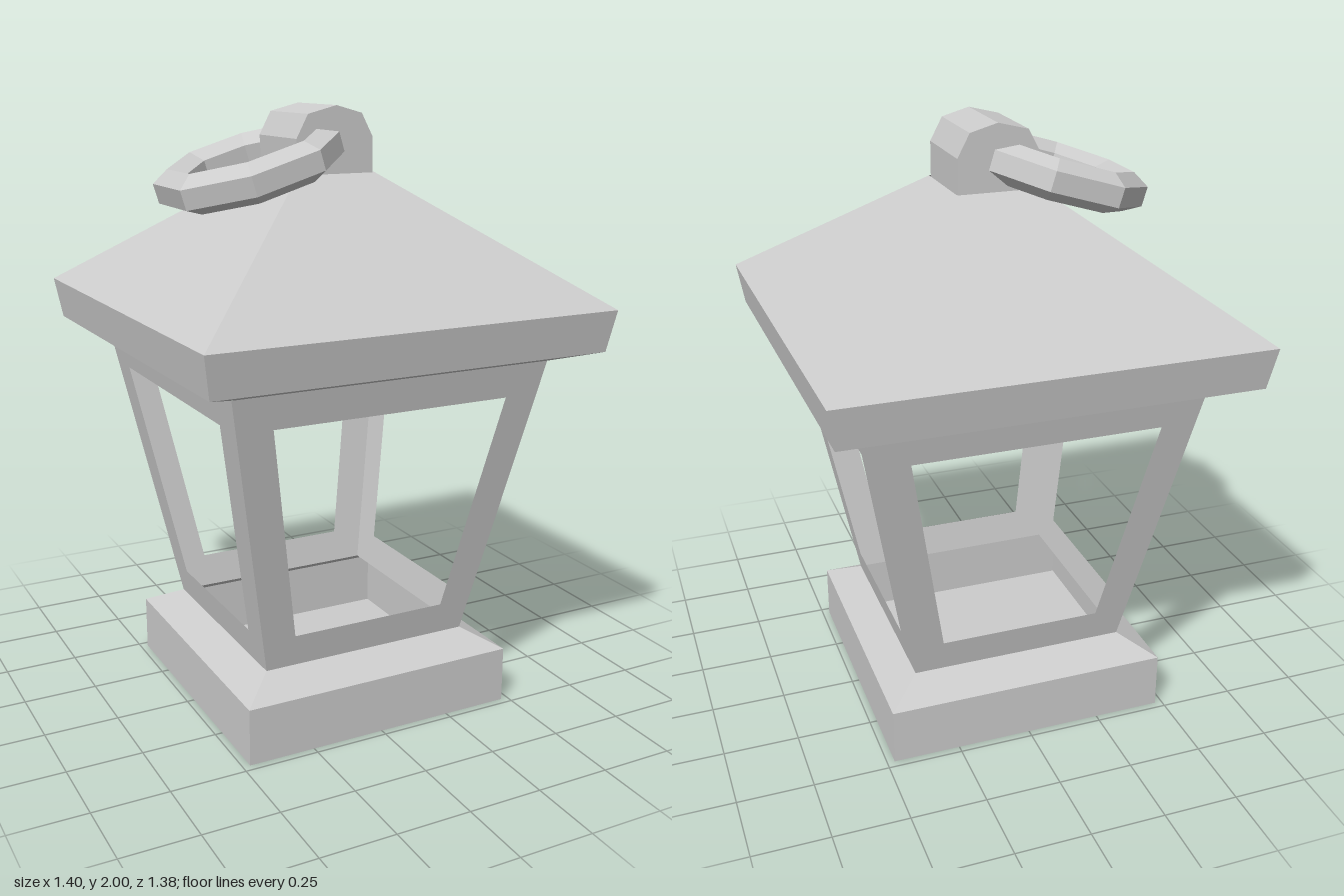
import * as THREE from 'three';

export function createModel() {
  const model = new THREE.Group();
  const metal = new THREE.MeshStandardMaterial({ color: 0xcccccc, flatShading: true, side: THREE.DoubleSide });
  metal.name = 'grey metal';

  const add = (name, geometry, parent = model) => {
    const mesh = new THREE.Mesh(geometry, metal);
    mesh.name = name;
    parent.add(mesh);
    return mesh;
  };

  // Open square tapering band between two heights, given half widths
  const band = (halfLow, yLow, halfHigh, yHigh) =>
    new THREE.CylinderGeometry(halfHigh * Math.SQRT2, halfLow * Math.SQRT2, yHigh - yLow, 4, 1, true)
      .rotateY(Math.PI / 4)
      .translate(0, (yLow + yHigh) / 2, 0);

  // Plinth
  add('basePlinth', band(0.475, 0, 0.475, 0.19));
  add('baseBevel', band(0.475, 0.19, 0.365, 0.25));
  add('baseBottom', new THREE.PlaneGeometry(0.95, 0.95).rotateX(Math.PI / 2));

  // Four leaning window frames of thin sheet
  const low = { half: 0.365, y: 0.25 };
  const high = { half: 0.547, y: 1.21 };
  const trapezoid = (a, y0, b, y1) => [[-a, y0], [a, y0], [b, y1], [-b, y1]].map(p => new THREE.Vector2(...p));
  const frameShape = new THREE.Shape(trapezoid(low.half, low.y, high.half, high.y));
  frameShape.holes.push(new THREE.Path(trapezoid(0.272, 0.36, 0.407, 1.1)));
  const frameGeometry = new THREE.ShapeGeometry(frameShape);
  const pos = frameGeometry.attributes.position;
  for (let i = 0; i < pos.count; i++) {
    const t = (pos.getY(i) - low.y) / (high.y - low.y);
    pos.setZ(i, THREE.MathUtils.lerp(low.half, high.half, t));
  }
  frameGeometry.computeVertexNormals();
  const frames = new THREE.Group();
  frames.name = 'windowFrames';
  model.add(frames);
  ['front', 'left', 'back', 'right'].forEach((side, i) => {
    add(side + 'Frame', frameGeometry, frames).rotation.y = i * Math.PI / 2;
  });

  // Hollow roof, very slightly skewed
  const skew = new THREE.Matrix4().set(1, 0, 0.011, 0, 0, 1, 0, 0, 0, 0, 1, 0, 0, 0, 0, 1);
  add('eaveUnderside', band(0.547, 1.21, 0.67, 1.25).applyMatrix4(skew));
  add('eaveRim', band(0.67, 1.25, 0.692, 1.385).applyMatrix4(skew));
  add('roof', band(0.692, 1.385, 0.135, 1.79).applyMatrix4(skew));

  // Rounded lug on the roof peak
  const lug = new THREE.Shape([
    [-0.135, 1.785], [0.13, 1.785], [0.13, 1.9], [0.09, 1.975],
    [0, 2], [-0.1, 1.975], [-0.14, 1.9],
  ].map(p => new THREE.Vector2(...p)));
  add('topLug', new THREE.ExtrudeGeometry(lug, { depth: 0.275, bevelEnabled: false }).translate(0, 0, -0.1375));

  // Eight-sided carrying ring with a six-sided section
  const section = [];
  for (let i = 0; i <= 6; i++) {
    const a = (i + 0.5) * Math.PI / 3;
    section.push(new THREE.Vector2(0.254 + 0.065 * Math.cos(a), 0.065 * Math.sin(a)));
  }
  const ring = add('carryingRing', new THREE.LatheGeometry(section, 8).rotateY(Math.PI / 8));
  ring.position.set(-0.237, 1.81, 0);
  ring.rotation.z = THREE.MathUtils.degToRad(17);

  return model;
}
